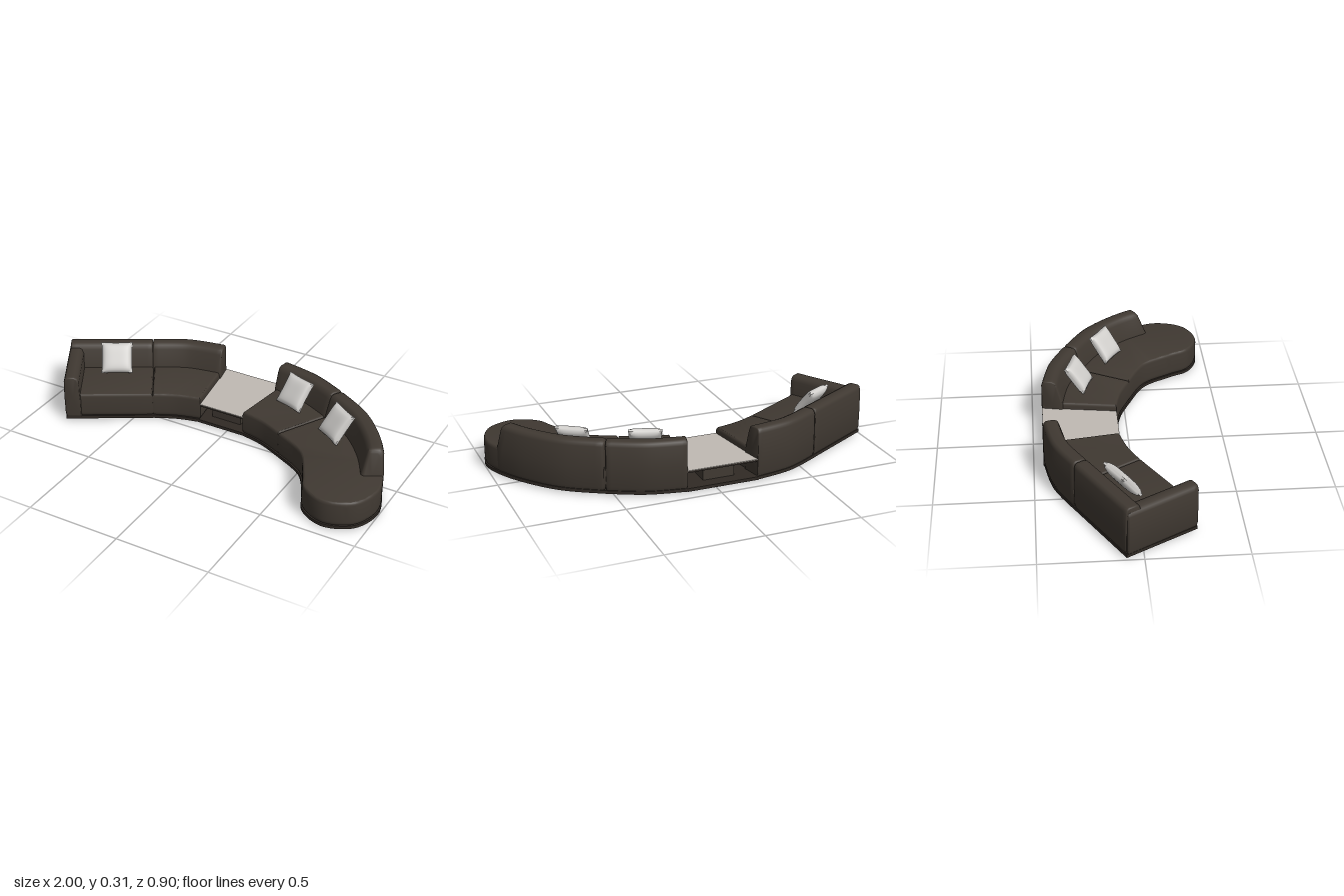
import * as THREE from 'three';
import { toCreasedNormals, mergeVertices } from 'three/addons/utils/BufferGeometryUtils.js';

const material = (name, color) => {
  const m = new THREE.MeshStandardMaterial({ color });
  m.name = name;
  return m;
};
const upholstery = material('brown upholstery', 0x403932);
const darkWood = material('dark plinth', 0x302a25);
const stone = material('table top grey', 0xc0bab3);
const linen = material('pillow linen', 0xd0cecb);
const lining = material('underside lining', 0xaeaeae);
const metal = material('foot metal', 0x8c8a86);

const spline = (pts) => new THREE.SplineCurve(pts.map(([x, z]) => new THREE.Vector2(x, z)));
const smoothLine = (pts, n) => (pts.length < 3 ? pts : spline(pts).getPoints(n).map((p) => [p.x, p.y]));

function add(parent, name, geometry, mat) {
  const mesh = new THREE.Mesh(geometry, mat);
  mesh.name = name;
  parent.add(mesh);
  return mesh;
}

// Upright slab over a plan outline [x, z], inset from it, with optional soft edges
function slab(outline, y0, y1, inset = 0, edge = 0, height = 0) {
  const shape = new THREE.Shape(outline.map(([x, z]) => new THREE.Vector2(x, -z)));
  const geo = new THREE.ExtrudeGeometry(shape, {
    depth: y1 - y0 - 2 * height, steps: 1, bevelEnabled: true,
    bevelSize: edge, bevelThickness: height, bevelOffset: -edge - inset, bevelSegments: edge ? 5 : 0,
  });
  geo.rotateX(-Math.PI / 2).translate(0, y0 + height, 0);
  return toCreasedNormals(geo, 0.6);
}

// Padded back or arm: a profile of depth and height swept along a plan path, ends rounded off
function paddedWall(pts, { top = 0.283, depth = 0.11, ridge = 0.075, slope = 0, endRadius = 0.009 } = {}) {
  const path = spline(pts);
  const length = path.getLength();
  const y0 = 0.025;
  const profile = [
    [0.002, y0], [-0.005, y0 + 0.02], [-0.006, 0.15], [-0.004, top - 0.025], [0.002, top - 0.008], [0.014, top],
    [ridge - 0.02, top], [ridge - 0.004, top - 0.008], [ridge + 0.005, top - 0.03],
    [depth - 0.004, 0.165], [depth, 0.14], [depth, y0],
  ];
  const n = profile.length;
  const cd = depth / 2, cy = (top + y0) / 2;
  const stations = [];
  for (let k = 0; k <= 4; k++) {
    const a = (k / 4) * Math.PI / 2;
    stations.push([endRadius * (1 - Math.cos(a)), endRadius * (1 - Math.sin(a))]);
  }
  const rings = [...stations];
  for (let k = 1; k < 20; k++) rings.push([endRadius + (length - 2 * endRadius) * k / 20, 0]);
  for (const [s, inset] of stations.reverse()) rings.push([length - s, inset]);

  const position = [], index = [];
  const place = (s, d, y) => {
    const t = (s / length) * (1 - slope * Math.max(0, y - 0.14));
    const p = path.getPointAt(t), q = path.getTangentAt(t);
    position.push(p.x - q.y * d, y, p.y + q.x * d);
  };
  for (const [s, inset] of rings) {
    for (const [d, y] of profile) {
      place(s, cd + (d - cd) * (1 - inset / cd), cy + (y - cy) * (1 - inset / (cy - y0)));
    }
  }
  const last = (rings.length - 1) * n;
  place(0, cd, cy);
  place(length, cd, cy);
  for (let j = 0; j < n; j++) {
    const k = (j + 1) % n;
    for (let i = 0; i < last; i += n) {
      index.push(i + j, i + k, i + n + j, i + n + j, i + k, i + n + k);
    }
    index.push(last + n, k, j, last + n + 1, last + j, last + k);
  }
  const geo = new THREE.BufferGeometry();
  geo.setAttribute('position', new THREE.Float32BufferAttribute(position, 3));
  geo.setIndex(index);
  return toCreasedNormals(geo, 0.75);
}

// Plinth, lining underneath and small feet
function base(parent, outline, feet) {
  add(parent, 'plinth', slab(outline, 0.01, 0.027, -0.003), darkWood);
  add(parent, 'undersideLining', slab(outline, 0.0085, 0.012, 0.018), lining);
  for (const [x, z] of feet) {
    add(parent, 'foot', new THREE.CylinderGeometry(0.01, 0.01, 0.01, 12), metal).position.set(x, 0.005, z);
  }
}

// Feet set in from four plan corners
function cornerFeet(corners) {
  const cx = corners.reduce((s, c) => s + c[0], 0) / 4;
  const cz = corners.reduce((s, c) => s + c[1], 0) / 4;
  return corners.map(([x, z]) => [x + (cx - x) * 0.16, z + (cz - z) * 0.16]);
}

// Square pillow, thick in the middle and pinched at the rim
function pillowGeometry(size, thickness) {
  const geo = new THREE.BoxGeometry(size, size, thickness, 14, 14, 2);
  const p = geo.attributes.position;
  for (let i = 0; i < p.count; i++) {
    const u = p.getX(i) / (size / 2), v = p.getY(i) / (size / 2);
    const puff = Math.sqrt((1 - u ** 4) * (1 - v ** 4));
    p.setXYZ(i, p.getX(i) * (1 - 0.04 * (1 - v * v)), p.getY(i) * (1 - 0.04 * (1 - u * u)),
      p.getZ(i) * (0.2 + 0.8 * puff));
  }
  geo.deleteAttribute('uv');
  geo.deleteAttribute('normal');
  return toCreasedNormals(mergeVertices(geo), 0.8);
}

export function createModel() {
  const model = new THREE.Group();
  model.name = 'curvedSofa';

  // Plan of each seat: back edge left to right, then front edge right to left
  const modules = [
    { name: 'armSeat', back: [[-0.993, -0.082], [-0.604, -0.306]], front: [[-0.403, 0.03], [-0.8, 0.264]] },
    { name: 'leftCurvedSeat', back: [[-0.602, -0.308], [-0.42, -0.402], [-0.218, -0.444]],
      front: [[-0.16, -0.058], [-0.285, -0.025], [-0.402, 0.029]] },
    { name: 'rightCurvedSeat', back: [[0.158, -0.444], [0.355, -0.402], [0.538, -0.317]],
      front: [[0.35, 0.029], [0.23, -0.025], [0.1, -0.056]] },
    { name: 'chaise',
      back: [[0.54, -0.315], [0.73, -0.195], [0.875, -0.035], [0.968, 0.12], [0.997, 0.25], [0.942, 0.387],
        [0.805, 0.446], [0.675, 0.39], [0.615, 0.28], [0.52, 0.125], [0.352, 0.03]],
      front: [], rest: [[0.54, -0.315], [0.73, -0.195], [0.875, -0.035], [0.97, 0.125]],
      wall: { slope: 0.5, endRadius: 0.02 },
      feet: [[0.56, -0.25], [0.41, 0.02], [0.66, 0.21], [0.84, -0.02], [0.93, 0.235], [0.75, 0.37], [0.89, 0.325]] },
  ];
  for (const { name, back, front, rest = back, wall, feet } of modules) {
    const group = new THREE.Group();
    group.name = name;
    model.add(group);
    const outline = [...smoothLine(back, back.length > 4 ? 72 : 14), ...smoothLine(front, 12)];
    base(group, outline, feet || cornerFeet([back[0], back.at(-1), front[0], front.at(-1)]));
    add(group, 'seat', slab(outline, 0.025, 0.157, -0.001, 0.011, 0.025), upholstery);
    add(group, 'backrest', paddedWall(rest, wall), upholstery);
    if (name === 'armSeat') {
      const arm = paddedWall([[-0.797, 0.27], [-0.995, -0.078]], { top: 0.263, depth: 0.08, ridge: 0.07 });
      add(group, 'armrest', arm, upholstery);
    }
  }

  // Middle table on a box pedestal
  const table = new THREE.Group();
  table.name = 'table';
  model.add(table);
  const plan = [[-0.218, -0.447], [0.158, -0.447], [0.1, -0.055], [-0.16, -0.055]];
  base(table, plan, cornerFeet(plan));
  add(table, 'pedestal', new THREE.BoxGeometry(0.17, 0.087, 0.27), upholstery).position.set(-0.032, 0.069, -0.25);
  add(table, 'topFrame', slab(plan, 0.11, 0.119), darkWood);
  add(table, 'topPlate', slab(plan, 0.119, 0.122), stone);

  // Pillows leaning on the backs: position and facing direction in plan
  const pillow = pillowGeometry(0.168, 0.055);
  for (const [x, y, z, nx, nz] of [
    [-0.695, 0.243, -0.08, 0.5, 0.86],
    [0.305, 0.236, -0.245, -0.32, 0.95],
    [0.62, 0.234, -0.083, -0.55, 0.83],
  ]) {
    const mesh = add(model, 'pillow', pillow, linen);
    mesh.position.set(x, y, z);
    mesh.rotation.set(-0.65, Math.atan2(nx, nz), 0, 'YXZ');
  }
  return model;
}
